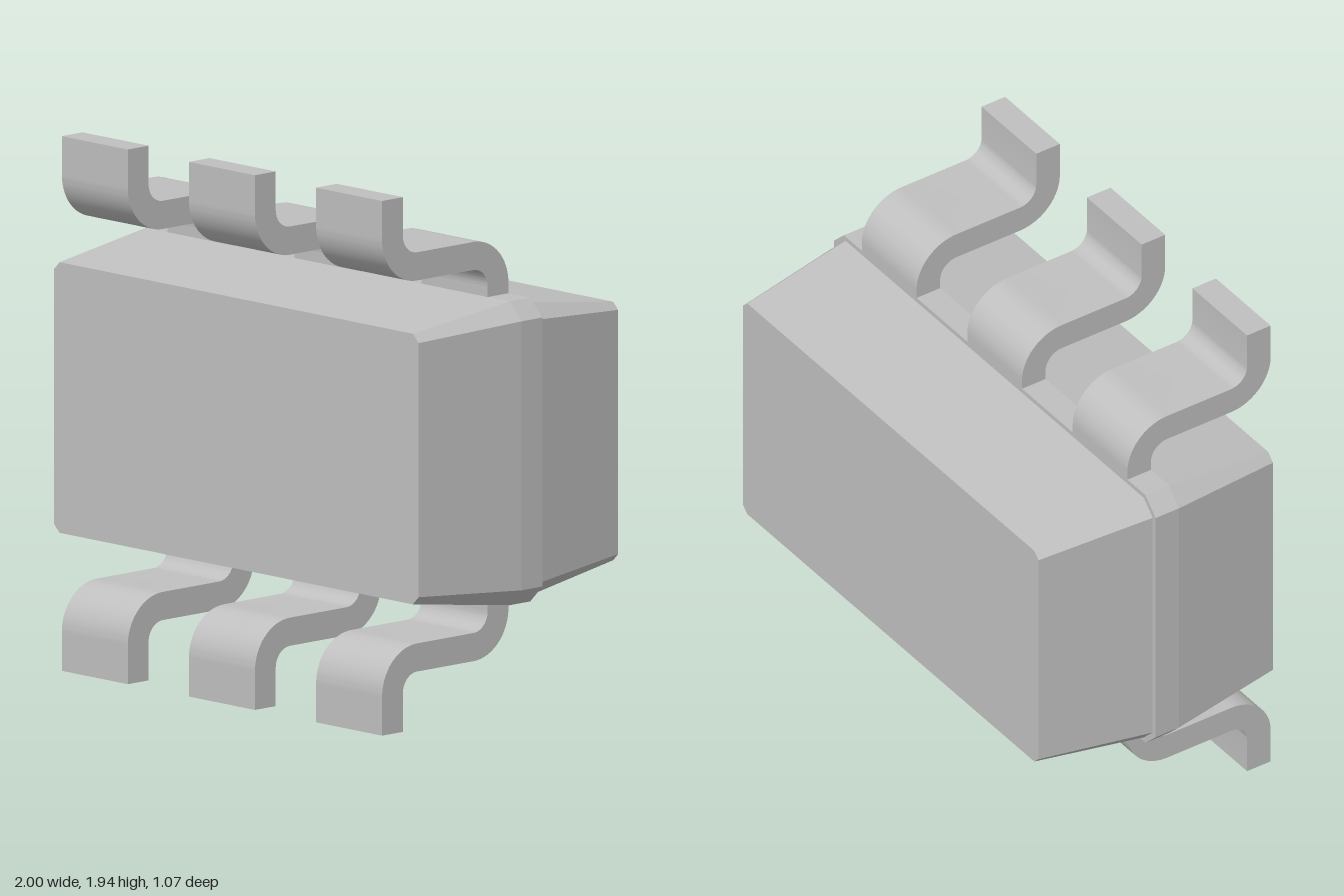
import * as THREE from 'three';
import { toCreasedNormals } from 'three/addons/utils/BufferGeometryUtils.js';

const CENTRE_Y = 0.968;

// Octagonal section: a rectangle with chamfered corners, anticlockwise
function section([z, w, h, c]) {
  return [
    [w, -h + c], [w, h - c], [w - c, h], [-w + c, h],
    [-w, h - c], [-w, -h + c], [-w + c, -h], [w - c, -h],
  ].map(([x, y]) => new THREE.Vector3(x, y, z));
}

// Closed solid through sections listed from front to back
function loft(sections) {
  const rings = sections.map(section);
  const points = [];
  const n = 8;
  for (let r = 0; r < rings.length - 1; r++) {
    for (let i = 0; i < n; i++) {
      const j = (i + 1) % n;
      const a = rings[r][i], b = rings[r][j];
      const c = rings[r + 1][j], d = rings[r + 1][i];
      points.push(a, d, b, b, d, c);
    }
  }
  const front = rings[0], back = rings[rings.length - 1];
  for (let i = 1; i < n - 1; i++) {
    points.push(front[0], front[i], front[i + 1]);
    points.push(back[0], back[i + 1], back[i]);
  }
  const geometry = new THREE.BufferGeometry().setFromPoints(points);
  geometry.computeVertexNormals();
  return geometry;
}

// S-bent strip, drawn in side profile and extruded across its width
function leadGeometry() {
  const width = 0.34, outer = 0.172, inner = 0.07, q = Math.PI / 2;
  const s = new THREE.Shape();
  s.moveTo(-0.085, 0.54);
  s.lineTo(-0.085, 0.587);
  s.absarc(0.087, 0.587, outer, Math.PI, q, true);
  s.absarc(0.363, 0.829, inner, -q, 0, false);
  s.lineTo(0.433, CENTRE_Y);
  s.lineTo(0.535, CENTRE_Y);
  s.lineTo(0.535, 0.829);
  s.absarc(0.363, 0.829, outer, 0, -q, true);
  s.absarc(0.087, 0.587, inner, q, Math.PI, false);
  s.lineTo(0.017, 0.54);
  s.closePath();
  const geometry = new THREE.ExtrudeGeometry(s, { depth: width, bevelEnabled: false, curveSegments: 14 });
  geometry.translate(0, 0, -width / 2);
  geometry.rotateY(-Math.PI / 2);
  return toCreasedNormals(geometry, 0.5);
}

export function createModel() {
  const model = new THREE.Group();
  model.name = 'chipPackage';
  const grey = new THREE.MeshStandardMaterial({ color: 0xbfbfbf });
  grey.name = 'grey';

  // Case: z, half width, half height, corner chamfer; small step at the seam
  const body = new THREE.Mesh(loft([
    [0.465, 0.94, 0.49, 0.03],
    [0.017, 1, 0.55, 0.063],
    [-0.085, 1, 0.55, 0.063],
    [-0.085, 0.982, 0.532, 0.055],
    [-0.535, 0.918, 0.468, 0.026],
  ]), grey);
  body.name = 'body';
  body.position.y = CENTRE_Y;
  model.add(body);

  // Three leads above, and the same row turned over below
  const lead = leadGeometry();
  for (const [name, turn] of [['topLeads', 0], ['bottomLeads', Math.PI]]) {
    const row = new THREE.Group();
    row.name = name;
    row.position.y = CENTRE_Y;
    row.rotation.z = turn;
    for (const x of [-0.655, 0, 0.655]) {
      const mesh = new THREE.Mesh(lead, grey);
      mesh.name = 'lead';
      mesh.position.x = x;
      row.add(mesh);
    }
    model.add(row);
  }
  return model;
}
